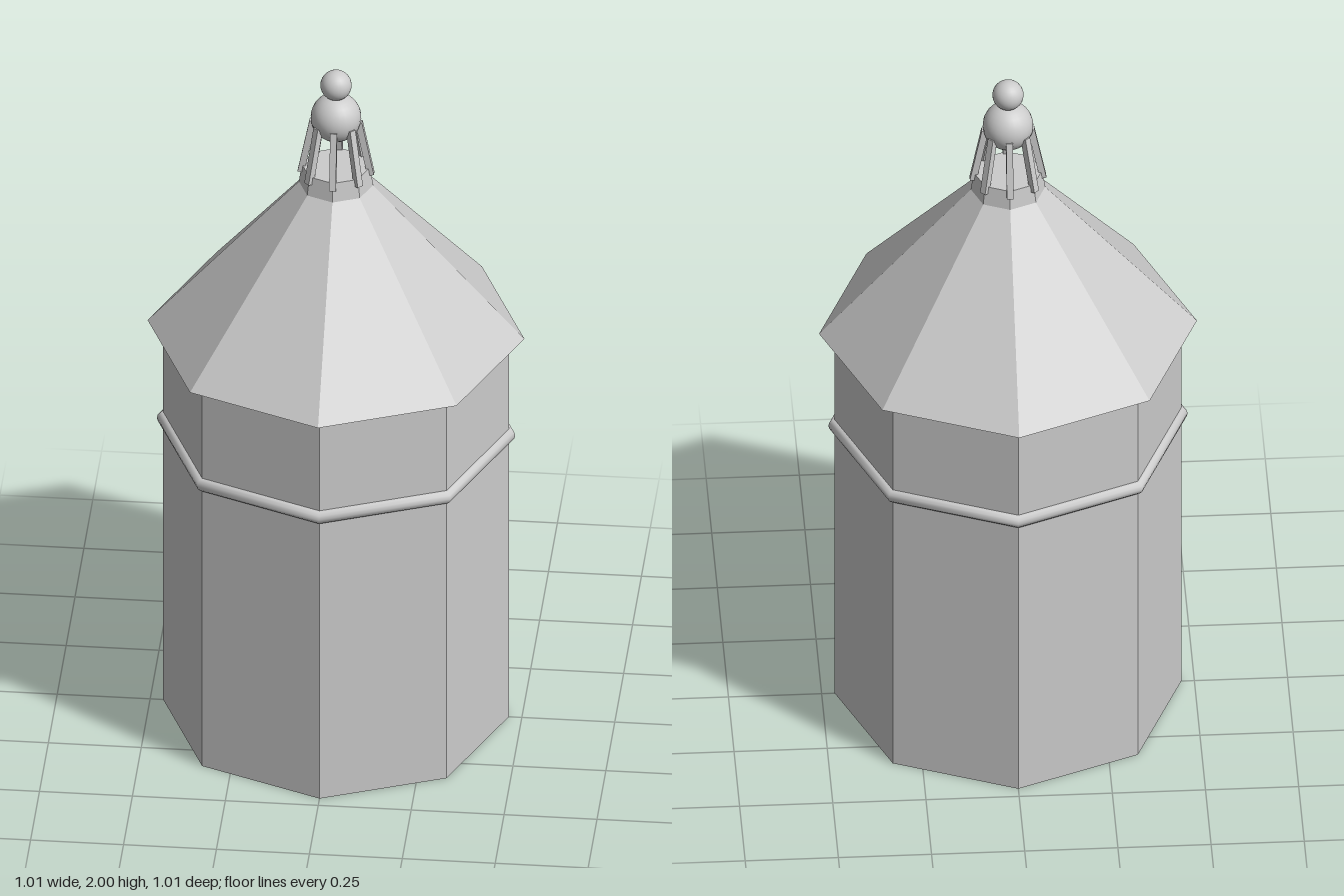
import * as THREE from 'three';

export function createModel() {
  const model = new THREE.Group();
  const flat = new THREE.MeshStandardMaterial({ color: 0xcccccc, flatShading: true });
  const smooth = new THREE.MeshStandardMaterial({ color: 0xcccccc });

  const add = (name, geometry, material, y = 0, parent = model) => {
    const mesh = new THREE.Mesh(geometry, material);
    mesh.name = name;
    mesh.position.y = y;
    parent.add(mesh);
    return mesh;
  };
  // Eight-sided section with corners on the x and z axes
  const octagon = (name, rTop, rBottom, y0, y1) =>
    add(name, new THREE.CylinderGeometry(rTop, rBottom, y1 - y0, 8), flat, (y0 + y1) / 2);

  octagon('towerBody', 0.465, 0.465, 0, 1.19);
  octagon('roof', 0.095, 0.507, 1.19, 1.655);
  octagon('lanternCollar', 0.092, 0.1, 1.65, 1.705);

  // Rounded moulding around the body
  const band = new THREE.TorusGeometry(0.462, 0.02, 12, 8);
  band.rotateX(Math.PI / 2);
  add('bandMoulding', band, smooth, 0.885);

  // Leaning struts of the open lantern, one at each corner
  const struts = new THREE.Group();
  struts.name = 'lanternStruts';
  model.add(struts);
  const foot = new THREE.Vector2(0.094, 1.685);
  const head = new THREE.Vector2(0.062, 1.845);
  const lean = Math.atan2(foot.x - head.x, head.y - foot.y);
  for (let i = 0; i < 8; i++) {
    const strut = new THREE.BoxGeometry(0.018, foot.distanceTo(head), 0.018);
    strut.rotateZ(lean);
    strut.translate((foot.x + head.x) / 2, 0, 0);
    strut.rotateY((i * Math.PI) / 4);
    add('lanternStrut', strut, flat, (foot.y + head.y) / 2, struts);
  }

  // Finial of two stacked balls
  add('lowerBall', new THREE.SphereGeometry(0.068, 24, 16), smooth, 1.858);
  add('upperBall', new THREE.SphereGeometry(0.042, 24, 16), smooth, 1.958);

  return model;
}
